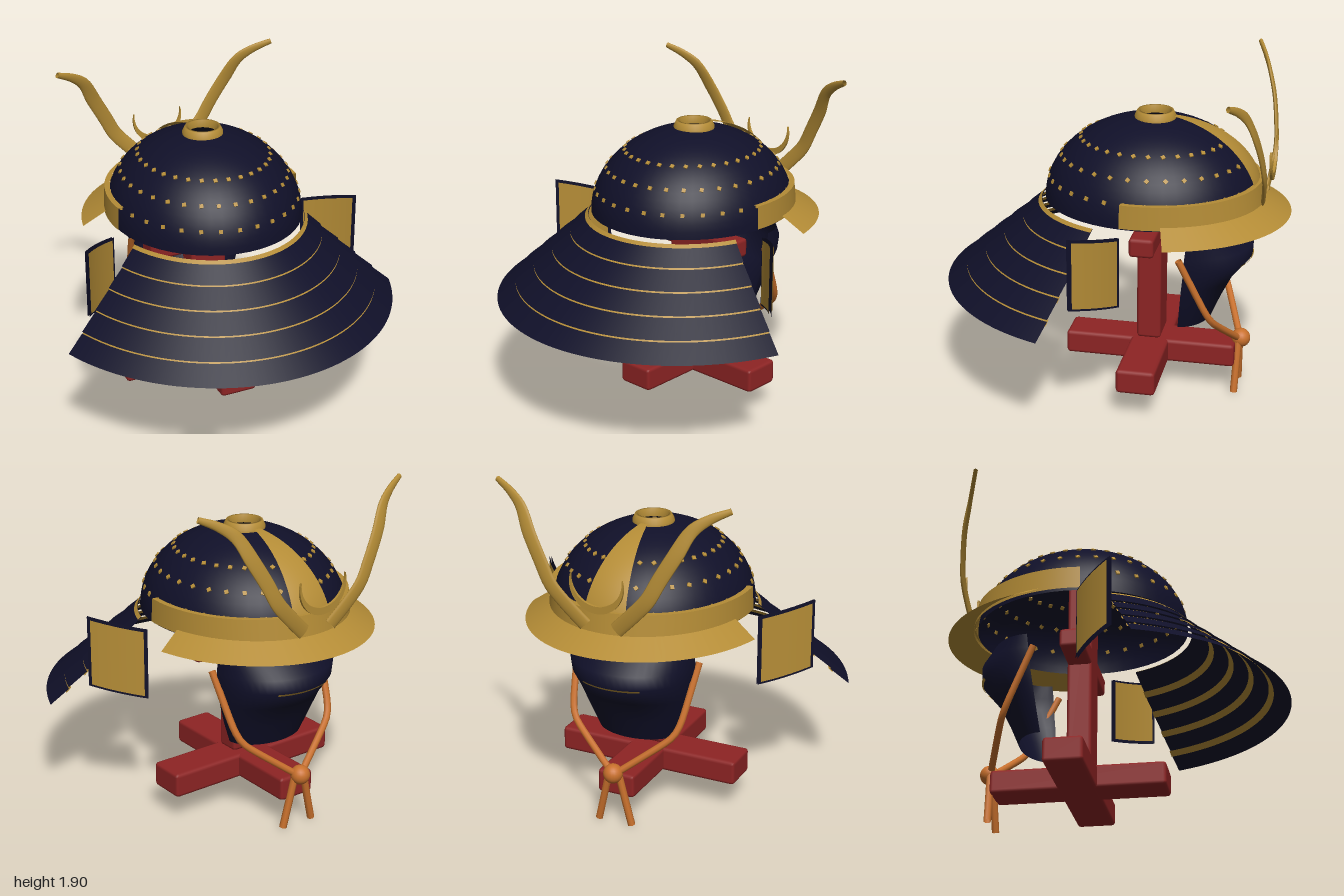
import * as THREE from 'three';
import { mergeGeometries } from 'three/addons/utils/BufferGeometryUtils.js';
import { RoundedBoxGeometry } from 'three/addons/geometries/RoundedBoxGeometry.js';
import { ParametricGeometry } from 'three/addons/geometries/ParametricGeometry.js';

const CZ = -0.2; // centre of the bowl in z

function material(name, color) {
  const m = new THREE.MeshStandardMaterial({ color, side: THREE.DoubleSide });
  m.name = name;
  return m;
}

export function createModel() {
  const navy = material('navy lacquer', 0x101029);
  const gold = material('gold', 0xb48c36);
  const red = material('red wood', 0x8e2424);
  const orange = material('orange cord', 0xc8702c);
  const model = new THREE.Group();
  model.name = 'helmetOnStand';

  function add(name, geometry, mat, x = 0, y = 0, z = 0) {
    const mesh = new THREE.Mesh(geometry, mat);
    mesh.name = name;
    mesh.position.set(x, y, z);
    model.add(mesh);
    return mesh;
  }
  // Surface from a rule f(u, v) => [x, y, z]
  const surface = (f, nu, nv) => new ParametricGeometry((u, v, p) => p.set(...f(u, v)), nu, nv);
  const lerp = THREE.MathUtils.lerp;

  // Band swept round the bowl; dir -1 is the brow side, +1 the neck side.
  // from/to: [x radius, z radius, y]
  function band(from, to, half, dir, n = 48) {
    return surface((u, v) => {
      const t = (u * 2 - 1) * half;
      const [a, b, y] = from.map((k, i) => lerp(k, to[i], v));
      return [a * Math.sin(t), y, CZ + dir * b * Math.cos(t)];
    }, n, 1);
  }

  // ---- Stand ----
  const beam = (name, w, h, d, y, z) => {
    const g = new RoundedBoxGeometry(w, h, d, 1, 0.02);
    add(name, g, red, 0, y, z);
  };
  beam('baseBeamAcross', 1.08, 0.14, 0.22, 0.227, -0.206);
  beam('baseBeamAlong', 0.22, 0.136, 0.98, 0.228, -0.206);
  beam('post', 0.22, 1.1, 0.14, 0.85, -0.2);
  beam('shoulderBar', 0.72, 0.11, 0.14, 0.955, -0.2);

  // ---- Bowl ----
  const RX = 0.55, RZ = 0.605, H = 0.47, RIM = 1.14;
  const bowlPoints = [];
  for (let i = 0; i <= 16; i++) {
    const a = lerp(0, Math.acos(0.16), i / 16);
    bowlPoints.push(new THREE.Vector2(Math.cos(a), Math.sin(a)));
  }
  const bowl = new THREE.LatheGeometry(bowlPoints, 48);
  bowl.scale(RX, H, RZ);
  add('bowl', bowl, navy, 0, RIM, CZ);

  // Ring round the hole in the crown
  const ring = [[0.085, -0.01], [0.085, 0.035], [0.1, 0.035], [0.115, 0.005], [0.115, -0.015]];
  add('crownRing', new THREE.LatheGeometry(ring.map((p) => new THREE.Vector2(...p)), 32),
    gold, 0, 1.607, CZ - 0.01);

  // Rows of square rivets
  const rivets = [];
  const zAxis = new THREE.Vector3(0, 0, 1);
  for (const y of [1.27, 1.39, 1.49]) {
    const s = (y - RIM) / H, c = Math.sqrt(1 - s * s);
    for (let i = 0; i < 32; i++) {
      const t = ((i + 0.5) / 32) * Math.PI * 2;
      const p = new THREE.Vector3(RX * c * Math.sin(t), H * s, RZ * c * Math.cos(t));
      const n = new THREE.Vector3(p.x / RX ** 2, p.y / H ** 2, p.z / RZ ** 2).normalize();
      const g = new THREE.BoxGeometry(0.021, 0.021, 0.014);
      g.applyQuaternion(new THREE.Quaternion().setFromUnitVectors(zAxis, n));
      g.translate(p.x, p.y + RIM, p.z + CZ);
      rivets.push(g);
    }
  }
  add('rivets', mergeGeometries(rivets), gold);

  // Tapered plate running down the brow side of the bowl
  add('browPlate', surface((u, v) => {
    const z = lerp(-0.31, -0.795, Math.sin(v * Math.PI / 2));
    const x = (u * 2 - 1) * lerp(0.02, 0.125, (-0.31 - z) / 0.485);
    const k = 1 - (x / RX) ** 2 - ((z - CZ) / RZ) ** 2;
    return [x, RIM + 0.012 + H * Math.sqrt(Math.max(k, 0)), z - 0.012];
  }, 8, 24), gold);

  // ---- Brow band and peak ----
  add('browBandOuter', band([0.562, 0.632, 1.15], [0.556, 0.612, 1.28], 1.70, -1), gold);
  add('browBandTop', band([0.556, 0.612, 1.28], [0.525, 0.58, 1.28], 1.70, -1), gold);
  add('peak', band([0.555, 0.62, 1.172], [0.69, 0.775, 1.085], 1.345, -1), gold);

  // ---- Horns: flattened blades along a curve ----
  for (const side of [-1, 1]) {
    const path = new THREE.CatmullRomCurve3([
      [0.09, 1.2, -0.83], [0.2, 1.31, -0.845], [0.28, 1.4, -0.85], [0.34, 1.51, -0.84],
      [0.42, 1.65, -0.815], [0.49, 1.775, -0.775], [0.57, 1.835, -0.74], [0.67, 1.88, -0.7],
    ].map((p) => new THREE.Vector3(...p)));
    add(side > 0 ? 'leftHorn' : 'rightHorn', surface((u, v) => {
      const c = path.getPoint(u), t = path.getTangent(u);
      const n = new THREE.Vector3(-t.y, t.x, 0).normalize();
      const b = new THREE.Vector3().crossVectors(t, n);
      const a = v * Math.PI * 2;
      const w = u < 0.6 ? 0.042 : lerp(0.042, 0.016, (u - 0.6) / 0.4);
      c.addScaledVector(n, Math.cos(a) * w).addScaledVector(b, Math.sin(a) * 0.012);
      return [c.x * side, c.y, c.z];
    }, 32, 14), gold);
  }

  // Crescent between the horns
  const moon = new THREE.Shape();
  moon.absarc(0, 0, 0.155, Math.PI - 0.3 + 0.6, -0.3 + 0.6, false);
  moon.absarc(0, 0.045, 0.148, 0.005, Math.PI - 0.005, true);
  const crescent = new THREE.Shape();
  for (let i = 0; i <= 32; i++) { // lower edge
    const a = lerp(Math.PI - 0.3, Math.PI * 2 + 0.3, i / 32);
    crescent[i ? 'lineTo' : 'moveTo'](Math.cos(a) * 0.155, Math.sin(a) * 0.155);
  }
  for (let i = 31; i > 0; i--) { // upper edge
    const a = lerp(Math.PI - 0.3, Math.PI * 2 + 0.3, i / 32);
    const r = 0.155 - 0.04 * Math.sin((i / 32) * Math.PI);
    crescent.lineTo(Math.cos(a) * r, Math.sin(a) * r);
  }
  add('crescent', new THREE.ExtrudeGeometry(crescent, { depth: 0.015, bevelEnabled: false }),
    gold, 0, 1.445, -0.876);

  // ---- Neck guard: five overlapping lames with gold edging ----
  const HALF = 1.197;
  const guard = (f, drop = 0) => [lerp(0.56, 1.075, f), lerp(0.625, 1.17, f), lerp(1.12, 0.655, f) - drop];
  for (let i = 0; i < 5; i++) {
    add('neckLame', band(guard(i / 5, i ? 0.01 : 0), guard((i + 1) / 5), HALF, 1), navy);
    if (i) add('lameEdging', band(guard(i / 5 - 0.025, 0.014), guard(i / 5 + 0.025, 0.02), HALF, 1), gold);
  }
  add('neckGuardRim', band(guard(0.005, -0.006), guard(0.04, -0.006), HALF, 1), gold);

  // ---- Side flaps: dark panel with a gold face on both sides ----
  for (const side of [-1, 1]) {
    const flap = (off, m) => surface((u, v) => {
      const s = lerp(m, 1 - m, u), bulge = 0.06 * s * (1 - s) + off;
      return [side * (0.59 + 0.24 * s + bulge * 0.68),
        1.11 + 0.065 * s - 0.4 * lerp(m * 0.6, 1 - m * 0.6, v),
        -0.125 + 0.22 * s - bulge * 0.74];
    }, 10, 1);
    const name = side > 0 ? 'leftFlap' : 'rightFlap';
    for (const o of [-0.006, 0.006]) {
      add(name + 'Panel', flap(o, 0), navy);
      add(name + 'Face', flap(o * 1.7, 0.055), gold);
    }
  }

  // ---- Face mask: rows of [y, half width, back z, front z] ----
  const rows = [
    [0.99, 0.36, -0.45, -0.71], [0.91, 0.36, -0.44, -0.775], [0.83, 0.35, -0.435, -0.77],
    [0.71, 0.325, -0.42, -0.67], [0.58, 0.285, -0.405, -0.605], [0.45, 0.235, -0.39, -0.55],
  ];
  const maskPoint = (t, f, out = 0) => {
    const i = Math.min(Math.floor(f), rows.length - 2);
    const [y, a, zb, zf] = rows[i].map((k, j) => lerp(k, rows[i + 1][j], f - i));
    return [(a + out) * Math.sin(t), y, zb + (zf - out - zb) * Math.cos(t)];
  };
  add('mask', surface((u, v) => maskPoint((u - 0.5) * Math.PI, v * 5), 28, 5), navy);
  add('mouthLine', surface((u, v) => maskPoint((u - 0.5) * 1.0, lerp(2.0, 2.12, v), 0.006), 12, 1), gold);

  // ---- Chin cords, knot and hanging ends ----
  const tube = (name, pts, r) => add(name, new THREE.TubeGeometry(
    new THREE.CatmullRomCurve3(pts.map((p) => new THREE.Vector3(...p)), false, 'catmullrom', 0.3),
    20, r, 8), orange);
  for (const s of [-1, 1]) {
    tube('chinCord', [[s * 0.37, 0.91, -0.41], [s * 0.33, 0.61, -0.55], [s * 0.28, 0.51, -0.6], [s * 0.02, 0.31, -0.71]], 0.02);
    tube('cordEnd', [[s * 0.03, 0.3, -0.71], [s * 0.065, 0.15, -0.705], [s * 0.1, 0.003, -0.7]], 0.021);
  }
  add('knot', new THREE.SphereGeometry(0.055, 20, 14), orange, 0, 0.305, -0.72);

  return model;
}
